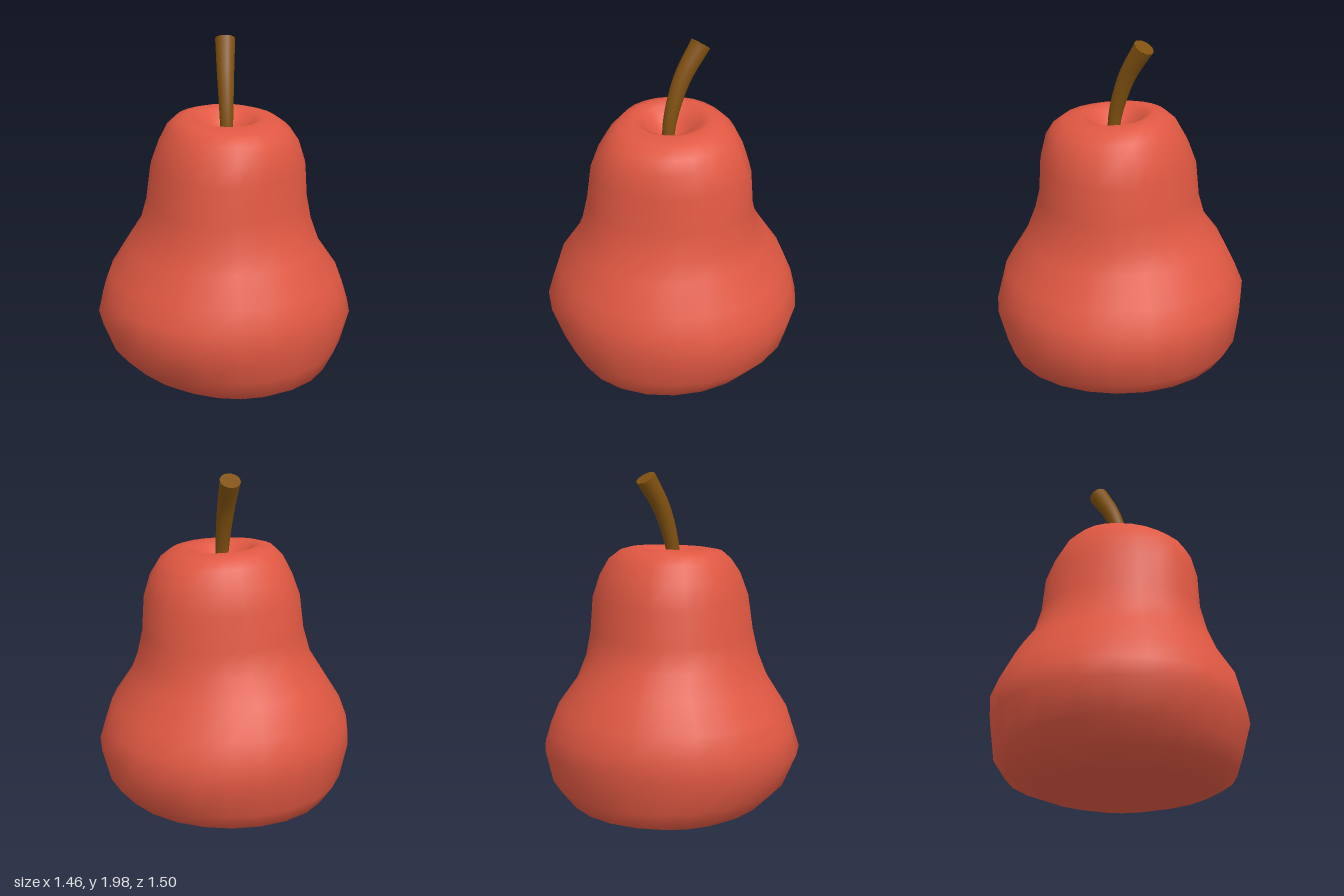
import * as THREE from 'three';

const SEGMENTS = 24;

// Body rings from the base hollow up and over the rim into the top dimple:
// [height, reach to -x, +x, -z, +z, neck unevenness]
const RINGS = [
  [0.09, 0, 0, 0, 0, 0],
  [0.07, 0.16, 0.18, 0.17, 0.17, 0],
  [0.01, 0.34, 0.40, 0.38, 0.36, 0],
  [0.04, 0.48, 0.54, 0.47, 0.46, 0],
  [0.10, 0.63, 0.64, 0.60, 0.56, 0],
  [0.21, 0.70, 0.675, 0.70, 0.67, 0],
  [0.40, 0.725, 0.725, 0.75, 0.75, 0],
  [0.52, 0.73, 0.695, 0.71, 0.71, 0],
  [0.64, 0.68, 0.665, 0.66, 0.67, 0],
  [0.80, 0.60, 0.56, 0.55, 0.555, 0.3],
  [0.93, 0.50, 0.50, 0.51, 0.49, 0.7],
  [1.07, 0.46, 0.46, 0.49, 0.45, 1],
  [1.27, 0.44, 0.45, 0.475, 0.42, 1],
  [1.40, 0.39, 0.42, 0.43, 0.375, 0.9],
  [1.49, 0.33, 0.38, 0.37, 0.33, 0.6],
  [1.54, 0.27, 0.32, 0.30, 0.285, 0.3],
  [1.56, 0.20, 0.22, 0.23, 0.22, 0],
  [1.54, 0.15, 0.17, 0.17, 0.17, 0],
  [1.48, 0.10, 0.12, 0.11, 0.11, 0],
  [1.43, 0.05, 0.06, 0.05, 0.05, 0],
  [1.42, 0, 0, 0, 0, 0],
];

function bodyGeometry() {
  const positions = [], index = [];
  RINGS.forEach(([y, left, right, back, front, uneven], r) => {
    for (let s = 0; s < SEGMENTS; s++) {
      const a = (s / SEGMENTS) * Math.PI * 2;
      const c = Math.cos(a), n = Math.sin(a);
      // the neck swells at the front left shoulder and flattens diagonally opposite
      const diagonal = Math.max(0, Math.sin(2 * a)) * (c > 0 ? 0.09 : -0.07);
      const k = 1 + uneven * diagonal;
      const tilt = r > 13 ? -0.015 * c : 0;
      positions.push(c * (c > 0 ? right : left) * k, y + tilt, n * (n > 0 ? front : back) * k);
      if (r < RINGS.length - 1) {
        const p = r * SEGMENTS + s, q = r * SEGMENTS + (s + 1) % SEGMENTS;
        index.push(p, p + SEGMENTS, q, q, p + SEGMENTS, q + SEGMENTS);
      }
    }
  });
  const g = new THREE.BufferGeometry();
  g.setAttribute('position', new THREE.Float32BufferAttribute(positions, 3));
  g.setIndex(index);
  g.computeVertexNormals();
  return g;
}

export function createModel() {
  const skin = new THREE.MeshStandardMaterial({ color: 0xe05842 });
  skin.name = 'red skin';
  const wood = new THREE.MeshStandardMaterial({ color: 0x7f5010 });
  wood.name = 'brown stem';

  const group = new THREE.Group();
  group.name = 'pear';
  const add = (name, geometry, material) => {
    const mesh = new THREE.Mesh(geometry, material);
    mesh.name = name;
    group.add(mesh);
    return mesh;
  };

  add('body', bodyGeometry(), skin);

  // Curved stem that thickens towards its cut end
  const path = new THREE.CatmullRomCurve3([
    new THREE.Vector3(0.035, 1.41, 0.01),
    new THREE.Vector3(0.018, 1.56, 0),
    new THREE.Vector3(-0.045, 1.78, -0.04),
    new THREE.Vector3(-0.137, 1.96, -0.105),
  ]);
  const steps = 10, sides = 16, endRadius = 0.058;
  const stem = new THREE.TubeGeometry(path, steps, 1, sides, false);
  const pos = stem.attributes.position, v = new THREE.Vector3();
  for (let i = 0; i < pos.count; i++) {
    const t = Math.floor(i / (sides + 1)) / steps;
    const centre = path.getPointAt(t);
    v.fromBufferAttribute(pos, i).sub(centre)
      .multiplyScalar(THREE.MathUtils.lerp(0.033, endRadius, t)).add(centre);
    pos.setXYZ(i, v.x, v.y, v.z);
  }
  stem.computeBoundingSphere();
  add('stem', stem, wood);

  const cap = add('stemEnd', new THREE.CircleGeometry(endRadius, sides), wood);
  cap.position.copy(path.getPointAt(1));
  cap.quaternion.setFromUnitVectors(new THREE.Vector3(0, 0, 1), path.getTangentAt(1));

  return group;
}
